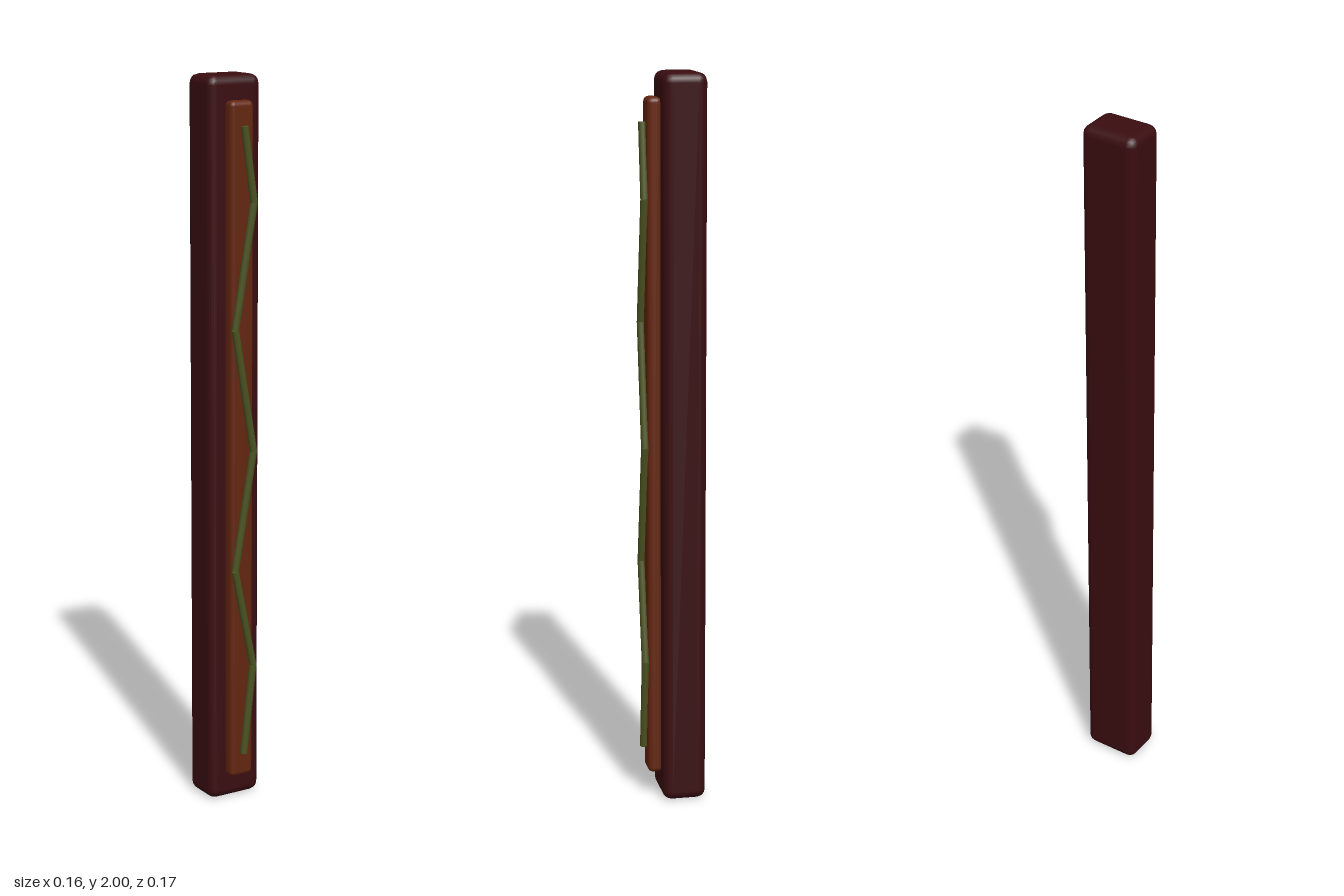
import * as THREE from 'three';
import { RoundedBoxGeometry } from 'three/addons/geometries/RoundedBoxGeometry.js';

export function createModel() {
  const group = new THREE.Group();
  const material = (name, color) => {
    const m = new THREE.MeshStandardMaterial({ color });
    m.name = name;
    return m;
  };
  const darkWood = material('darkWood', 0x3a0d10);
  const redWood = material('redWood', 0x642610);
  const vineGreen = material('vineGreen', 0x4b5320);

  const add = (name, geometry, mat, parent = group) => {
    const mesh = new THREE.Mesh(geometry, mat);
    mesh.name = name;
    parent.add(mesh);
    return mesh;
  };

  // Square post with rounded edges
  add('post', new RoundedBoxGeometry(0.16, 2, 0.12, 2, 0.025), darkWood)
    .position.set(0, 1, -0.028);

  // Raised strip on the front
  add('frontPanel', new RoundedBoxGeometry(0.072, 1.865, 0.04, 2, 0.014), redWood)
    .position.set(0, 1.003, 0.047);

  // Zigzag vine made of straight stems
  const vine = new THREE.Group();
  vine.name = 'vine';
  group.add(vine);
  const points = [
    [0, 0.14], [0.029, 0.395], [-0.028, 0.67], [0.029, 1.0],
    [-0.028, 1.335], [0.029, 1.67], [0, 1.87],
  ].map(([x, y]) => new THREE.Vector3(x, y, 0.0745));
  const up = new THREE.Vector3(0, 1, 0);
  for (let i = 0; i < points.length - 1; i++) {
    const dir = points[i + 1].clone().sub(points[i]);
    const stem = add('vineStem', new THREE.CylinderGeometry(0.0105, 0.0105, dir.length(), 8), vineGreen, vine);
    stem.position.copy(points[i]).addScaledVector(dir, 0.5);
    stem.quaternion.setFromUnitVectors(up, dir.normalize());
  }
  return group;
}
